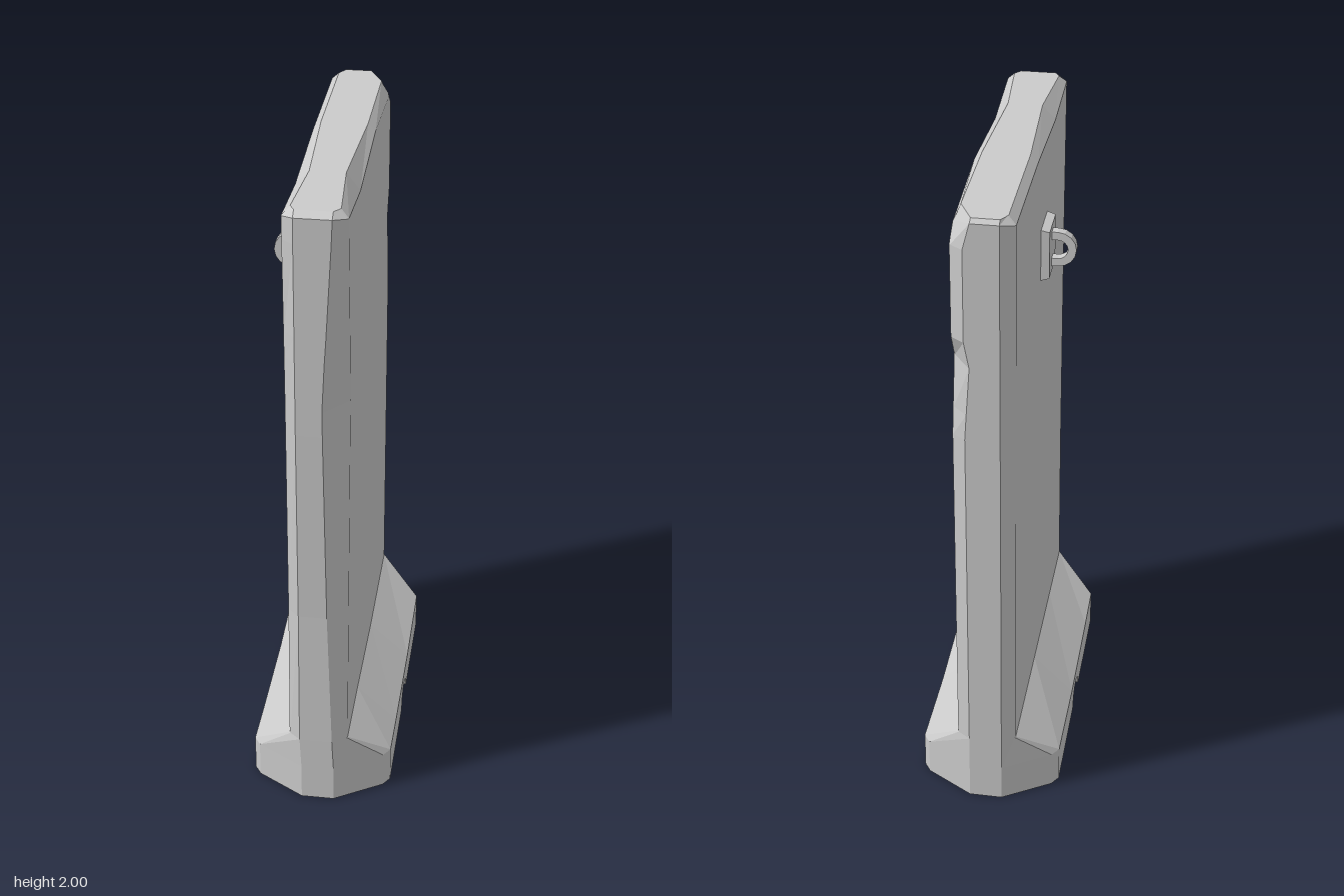
import * as THREE from 'three';
import { mergeGeometries } from 'three/addons/utils/BufferGeometryUtils.js';

const material = new THREE.MeshStandardMaterial({ color: 0xcccccc, flatShading: true });

// Skin a stack of closed rings (anticlockwise seen from above), with optional end caps
function loft(rings, capBottom, capTop) {
  const pos = [];
  const tri = (a, b, c) => pos.push(...a, ...b, ...c);
  const n = rings[0].length;
  for (let k = 0; k < rings.length - 1; k++) {
    const lo = rings[k], hi = rings[k + 1];
    for (let i = 0; i < n; i++) {
      const j = (i + 1) % n;
      tri(lo[i], lo[j], hi[j]);
      tri(lo[i], hi[j], hi[i]);
    }
  }
  const cap = (ring, up) => {
    const mid = [0, 1, 2].map((a) => ring.reduce((s, p) => s + p[a], 0) / n);
    ring.forEach((p, i) => {
      const q = ring[(i + 1) % n];
      if (up) tri(mid, p, q); else tri(mid, q, p);
    });
  };
  if (capBottom) cap(rings[0], false);
  if (capTop) cap(rings[rings.length - 1], true);
  const g = new THREE.BufferGeometry();
  g.setAttribute('position', new THREE.Float32BufferAttribute(pos, 3));
  g.computeVertexNormals();
  return g;
}

// One worn, corner-cut section of the slab. fr, br, bl, fl are the corner depths,
// the matching x values are where each cut meets the end faces, dips lowers single points.
function section(y, o = {}) {
  const s = { w: 0.09, c: 0.003, fr: 0.5, br: 0.5, bl: 0.5, fl: 0.5, frx: 0.05, brx: 0.05,
    blx: 0.05, flx: 0.055, front: 0.527, back: 0.527, pinch: 0, dips: {}, ...o };
  const { w, c } = s, d = 1.5 * c;
  const plan = [
    [w - c, s.fr], [w, s.fr - d], [w - s.pinch, 0.25], [w, -0.1], [w, d - s.br], [w - c, -s.br],
    [s.brx, -s.back], [-s.blx, -s.back],
    [c - w, -s.bl], [-w, d - s.bl], [-w, -0.1], [s.pinch - w, 0.25], [-w, s.fl - d], [c - w, s.fl],
    [-s.flx, s.front], [s.frx, s.front],
  ];
  return plan.map(([x, z], i) => [x, y - (s.dips[i] || 0), z]);
}

// Half of the foot on one side of the drain tunnel, open at the top
function footHalf() {
  const ring = (y, inner) => [
    [-0.215, y, inner], [-0.215, y, 0.41], [-0.195, y, 0.44], [-0.05, y, 0.527],
    [0.05, y, 0.527], [0.195, y, 0.44], [0.215, y, 0.41], [0.215, y, inner],
  ];
  return loft([ring(0, 0.07), ring(0.04, 0.052), ring(0.06, 0.02)], true, false);
}

export function createModel() {
  const group = new THREE.Group();
  const add = (name, geometry, parent = group) => {
    const mesh = new THREE.Mesh(geometry, material);
    mesh.name = name;
    parent.add(mesh);
    return mesh;
  };

  // Foot halves and the tunnel ceiling between them
  const ceiling = new THREE.PlaneGeometry(0.43, 0.04).rotateX(Math.PI / 2).translate(0, 0.06, 0).toNonIndexed();
  ceiling.deleteAttribute('uv');
  add('foot', mergeGeometries([footHalf(), footHalf().rotateY(Math.PI), ceiling]));

  // Wide base sloping into the tall slab, with chipped edges up to a bevelled top
  const wide = { w: 0.215, c: 0.02, fr: 0.44, br: 0.44, bl: 0.44, fl: 0.44, flx: 0.05 };
  add('slab', loft([
    section(0.06, wide),
    section(0.12, { ...wide, dips: { 2: 0.01, 3: 0.02, 10: 0.02, 11: 0.01 } }),
    section(0.228, { frx: 0.045, dips: { 3: 0.013 } }),
    section(0.69, { fr: 0.482, frx: 0.03, fl: 0.485, front: 0.518 }),
    section(1.32, { fr: 0.455, frx: 0.021, fl: 0.487 }),
    section(1.4, { fr: 0.45, frx: 0.02, fl: 0.487, br: 0.485, brx: 0.045 }),
    section(1.55, { fr: 0.46, frx: 0.027, fl: 0.49, br: 0.455, brx: 0.035 }),
    section(1.63, { fr: 0.467, frx: 0.032, fl: 0.492 }),
    section(1.91, { fr: 0.492, frx: 0.047 }),
    section(1.978, { fr: 0.497, br: 0.45, brx: 0.03,
      dips: { 2: 0.03, 4: 0.03, 5: 0.02, 6: -0.01, 7: -0.01, 11: 0.02, 14: -0.008, 15: -0.008 } }),
    section(2, { w: 0.068, pinch: 0.017, fr: 0.485, br: 0.44, bl: 0.49, fl: 0.485,
      brx: 0.028, front: 0.503, back: 0.515 }),
  ], false, true));

  // Lifting eye: tapered wall plate and a half-round loop
  const eye = new THREE.Group();
  eye.name = 'liftingEye';
  eye.position.set(-0.09, 1.655, 0.03);
  group.add(eye);
  const plate = new THREE.BoxGeometry(0.03, 0.165, 0.13).translate(-0.01, 0, 0);
  const p = plate.attributes.position;
  for (let i = 0; i < p.count; i++) {
    if (p.getX(i) < -0.01) p.setXYZ(i, p.getX(i), p.getY(i) * 0.9, p.getZ(i) * 0.95);
  }
  add('eyePlate', plate, eye);

  const shape = new THREE.Shape();
  shape.moveTo(-0.02, 0.055).lineTo(-0.043, 0.055);
  shape.absarc(-0.043, 0, 0.055, Math.PI / 2, Math.PI * 1.5, false);
  shape.lineTo(-0.02, -0.055).lineTo(-0.02, -0.03).lineTo(-0.043, -0.03);
  shape.absarc(-0.043, 0, 0.03, Math.PI * 1.5, Math.PI / 2, true);
  shape.lineTo(-0.02, 0.03);
  add('eyeLoop', new THREE.ExtrudeGeometry(shape, { depth: 0.03, bevelEnabled: false, curveSegments: 4 })
    .translate(0, 0, -0.017), eye);

  return group;
}
